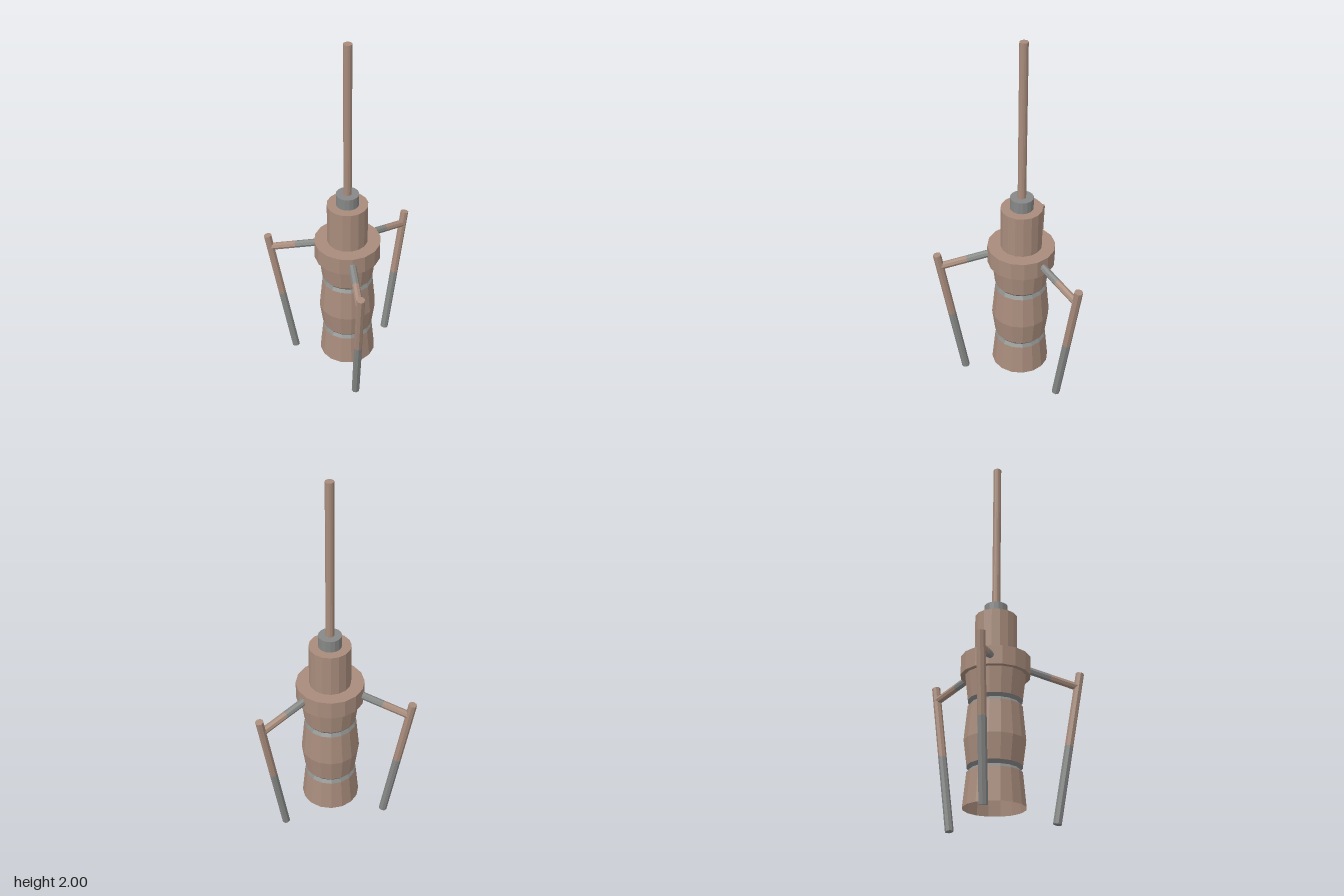
import * as THREE from 'three';

const paint = (color) =>
  new THREE.MeshStandardMaterial({ color, flatShading: true, side: THREE.DoubleSide });

export function createModel() {
  const model = new THREE.Group();
  model.name = 'lander';
  model.position.set(0.025, 0, -0.097);
  const brown = paint(0xa88c7c);
  const grey = paint(0x868886);

  const add = (parent, name, geometry, material) => {
    const mesh = new THREE.Mesh(geometry, material);
    mesh.name = name;
    parent.add(mesh);
    return mesh;
  };

  // Body shell: faceted rings stacked from [radius, height] profiles
  const shell = (name, profile, material) =>
    add(model, name,
      new THREE.LatheGeometry(profile.map(([r, y]) => new THREE.Vector2(r, y)), 16), material);
  shell('lowerSkirt', [[0.157, 0.065], [0.14, 0.237]], brown);
  shell('lowerGroove', [[0.14, 0.237], [0.126, 0.254], [0.14, 0.271]], grey);
  shell('barrel', [[0.14, 0.271], [0.157, 0.4], [0.14, 0.577]], brown);
  shell('upperGroove', [[0.14, 0.577], [0.126, 0.594], [0.14, 0.611]], grey);
  shell('upperBody', [[0.14, 0.611], [0.156, 0.745]], brown);

  // Upright cylinders: collar, housing, neck and mast
  const upright = (name, radius, y0, y1, material) => {
    const mesh = add(model, name, new THREE.CylinderGeometry(radius, radius, y1 - y0, 16), material);
    mesh.position.y = (y0 + y1) / 2;
  };
  upright('collar', 0.18, 0.745, 0.845, brown);
  upright('housing', 0.11, 0.845, 1.08, brown);
  upright('neck', 0.0615, 1.08, 1.145, grey);
  upright('mast', 0.022, 1.145, 2, brown);

  // Eight-sided bar between two [distance from axis, height] points
  const bar = (parent, name, radius, [z0, y0], [z1, y1], material) => {
    const length = Math.hypot(z1 - z0, y1 - y0);
    const mesh = add(parent, name, new THREE.CylinderGeometry(radius, radius, length, 8), material);
    mesh.position.set(0, (y0 + y1) / 2, (z0 + z1) / 2);
    mesh.rotation.x = Math.atan2(z1 - z0, y1 - y0);
  };

  // Three splayed legs, each two-toned and held by a sloping arm
  for (const degrees of [0, 125, -110]) {
    const leg = new THREE.Group();
    leg.name = 'leg';
    leg.rotation.y = THREE.MathUtils.degToRad(degrees);
    bar(leg, 'lowerLeg', 0.022, [0.31, 0.004], [0.378, 0.402], grey);
    bar(leg, 'upperLeg', 0.022, [0.378, 0.402], [0.446, 0.801], brown);
    bar(leg, 'innerArm', 0.02, [0.14, 0.805], [0.287, 0.765], grey);
    bar(leg, 'outerArm', 0.02, [0.287, 0.765], [0.434, 0.725], brown);
    model.add(leg);
  }

  const root = new THREE.Group();
  root.add(model);
  return root;
}
